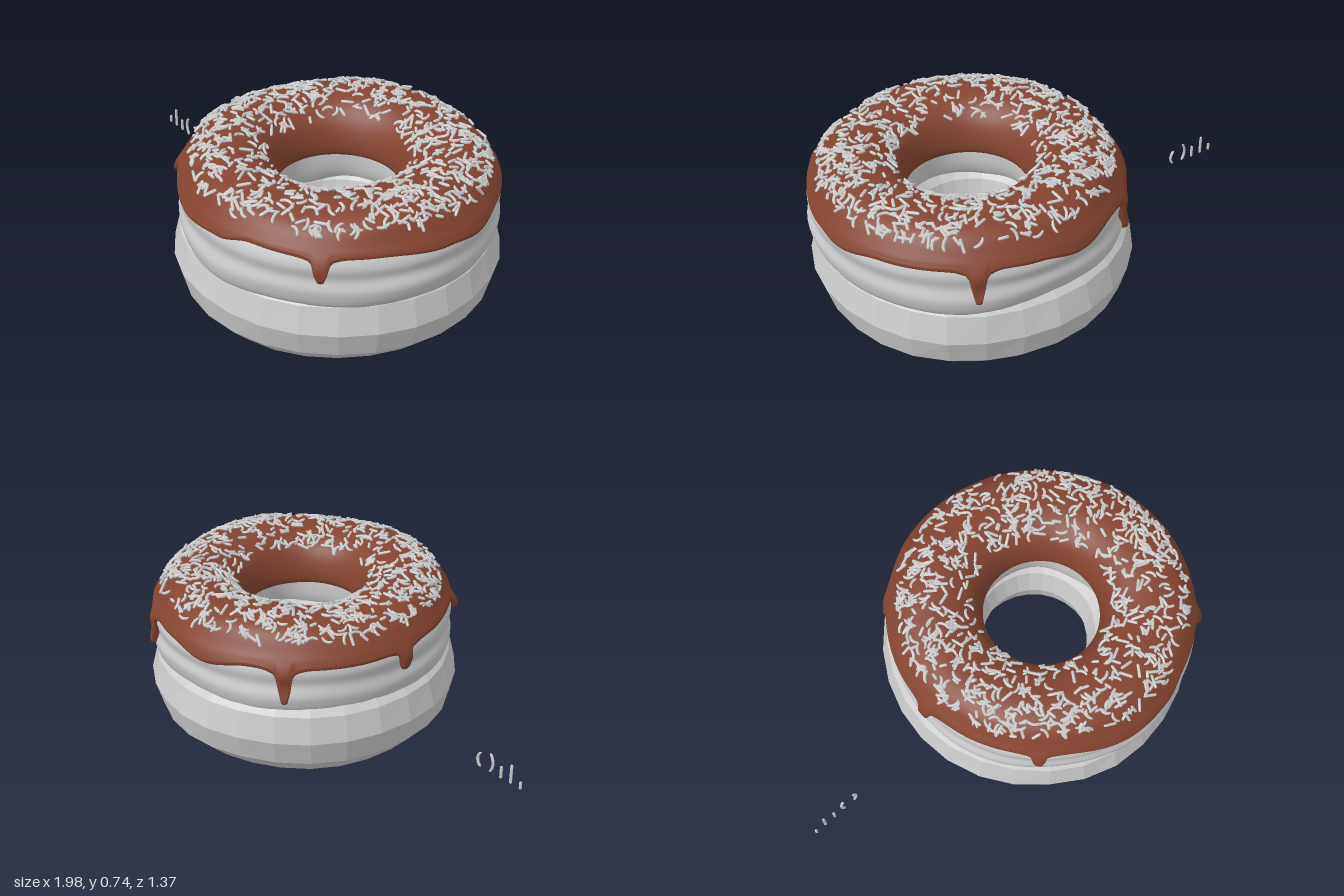
import * as THREE from 'three';
import { mergeGeometries } from 'three/addons/utils/BufferGeometryUtils.js';

const TAU = Math.PI * 2;
const CX = 0.315, CZ = 0.01; // axis of the upper donut

const curve = (pts, closed = false) =>
  new THREE.CatmullRomCurve3(pts.map(([r, y]) => new THREE.Vector3(r, y, 0)), closed);

let seed = 7;
const rand = () => {
  seed = (seed * 16807) % 2147483647;
  return seed / 2147483647;
};

// Sweeps a section (array of r, y points, outward side on its right) round the axis
function sweep(steps, sectionAt, closed) {
  const pos = [], index = [];
  let n = 0;
  for (let i = 0; i < steps; i++) {
    const a = (i / steps) * TAU;
    const section = sectionAt(a);
    n = section.length;
    for (const p of section) pos.push(CX + p.x * Math.cos(a), p.y, CZ + p.x * Math.sin(a));
  }
  for (let i = 0; i < steps; i++) {
    for (let j = 0; j < (closed ? n : n - 1); j++) {
      const i2 = ((i + 1) % steps) * n, j2 = (j + 1) % n;
      const a = i * n + j, b = i * n + j2, c = i2 + j, d = i2 + j2;
      index.push(a, b, c, b, d, c);
    }
  }
  const g = new THREE.BufferGeometry();
  g.setAttribute('position', new THREE.Float32BufferAttribute(pos, 3));
  g.setIndex(index);
  g.computeVertexNormals();
  return g;
}

// Upper donut: soft ring with a pinched waist
const donutPoints = curve([
  [0.64, 0.36], [0.658, 0.41], [0.66, 0.44], [0.648, 0.485], [0.657, 0.54], [0.63, 0.6],
  [0.57, 0.66], [0.45, 0.695], [0.34, 0.66], [0.28, 0.58], [0.265, 0.48], [0.28, 0.38],
  [0.34, 0.31], [0.45, 0.28], [0.57, 0.3],
], true).getPoints(60).slice(0, 60);

// Outer radius of the upper donut at height y
function outerRadius(y) {
  for (let i = 0; i < 28; i++) {
    const p = donutPoints[i], q = donutPoints[i + 1];
    if (y >= p.y && y <= q.y) return p.x + ((q.x - p.x) * (y - p.y)) / (q.y - p.y);
  }
  return donutPoints[0].x;
}

function donutSection(a) {
  return donutPoints.map((p) => {
    const low = 1 - THREE.MathUtils.smoothstep(p.y, 0.4, 0.54);
    const wave = 0.008 * Math.sin(3 * a + 0.5) + 0.005 * Math.sin(7 * a);
    return { x: p.x + low * 0.006 * Math.sin(5 * a), y: p.y + low * wave };
  });
}

// Icing: [degrees, height] of the lower edge, and [degrees, tip height] of the drips
const EDGE = [
  [0, 0.56], [25, 0.582], [52, 0.582], [70, 0.588], [83, 0.56], [100, 0.545], [125, 0.577],
  [145, 0.58], [165, 0.575], [200, 0.56], [240, 0.565], [258, 0.535], [275, 0.565],
  [290, 0.572], [330, 0.57], [347, 0.545], [360, 0.56],
];
const DRIPS = [[45, 0.48], [135, 0.52], [181, 0.475], [227, 0.41], [296, 0.425]];

function icingEdge(a) {
  const deg = (a / TAU) * 360;
  const k = EDGE.findIndex((e, i) => i > 0 && deg <= e[0]);
  const [d0, y0] = EDGE[k - 1], [d1, y1] = EDGE[k];
  let y = THREE.MathUtils.lerp(y0, y1, THREE.MathUtils.smoothstep(deg, d0, d1));
  let drip = 0;
  for (const [d, tip] of DRIPS) {
    const off = Math.abs(deg - d);
    const core = Math.exp(-Math.pow(off / 2.4, 4));
    const w = 0.8 * core + 0.2 * Math.exp(-Math.pow(off / 5, 2));
    y += (tip - y) * w;
    drip = Math.max(drip, core);
  }
  return { y, drip };
}

const TOP = [
  [0.63, 0.625], [0.59, 0.675], [0.53, 0.705], [0.45, 0.716], [0.36, 0.698],
  [0.29, 0.645], [0.257, 0.57], [0.252, 0.51], [0.265, 0.487], [0.295, 0.487],
];
const topLift = (a, y) => THREE.MathUtils.smoothstep(y, 0.62, 0.7) *
  (0.007 * Math.sin(3 * a + 1) + 0.005 * Math.sin(5 * a));

function icingSection(a) {
  const { y: e, drip } = icingEdge(a);
  const thick = 0.018 + 0.01 * drip;
  const pts = [
    [outerRadius(e + 0.004) - 0.012, e + 0.004],
    [outerRadius(e) + thick * 0.5, e],
  ];
  for (let i = 0; i < 5; i++) {
    const y = THREE.MathUtils.lerp(e + 0.014, 0.61, i / 5);
    pts.push([outerRadius(y) + THREE.MathUtils.lerp(thick, 0.02, i / 5), y]);
  }
  return curve([...pts, ...TOP]).getPoints(48)
    .map((p) => ({ x: p.x, y: p.y + topLift(a, p.y) }));
}

// One sprinkle: a small capsule, optionally bowed sideways
function sprinkle(length, bow = 0) {
  const r = 0.0065;
  const g = new THREE.CapsuleGeometry(r, length - 2 * r, 2, 6, bow ? 5 : 1);
  const p = g.attributes.position;
  for (let i = 0; i < p.count; i++) {
    const t = p.getY(i) / (length / 2);
    p.setX(i, p.getX(i) + bow * (1 - t * t));
  }
  g.computeVertexNormals();
  return g;
}

export function createModel() {
  const model = new THREE.Group();
  const grey = new THREE.MeshStandardMaterial({ color: 0xcccccc });
  const add = (name, geometry, material = grey) => {
    const mesh = new THREE.Mesh(geometry, material);
    mesh.name = name;
    model.add(mesh);
    return mesh;
  };

  // Lower donut: faceted ring, slightly uneven
  const lower = new THREE.TorusGeometry(0.46, 0.225, 12, 28).rotateX(-Math.PI / 2);
  const p = lower.attributes.position;
  for (let i = 0; i < p.count; i++) {
    const x = p.getX(i), y = p.getY(i), z = p.getZ(i);
    const s = 1 + 0.006 * Math.sin(9 * x + 5 * z + 8 * y);
    p.setXYZ(i, 0.298 + x * s, 0.236 + y * 1.02 + 0.005 * Math.sin(5 * x - 4 * z), z * s);
  }
  const faceted = new THREE.MeshStandardMaterial({ color: 0xcccccc, flatShading: true });
  add('lowerDonut', lower, faceted);

  add('upperDonut', sweep(96, donutSection, true));
  add('icing', sweep(360, icingSection, false), new THREE.MeshStandardMaterial({ color: 0x84442f }));

  // Sprinkles scattered over the top of the icing
  const kinds = [sprinkle(0.034), sprinkle(0.06), sprinkle(0.045), sprinkle(0.055, -0.009), sprinkle(0.05, 0.011)];
  const top = curve(TOP);
  const scattered = [];
  while (scattered.length < 900) {
    const u = (0.6 + 4.3 * rand()) / (TOP.length - 1);
    const a = rand() * TAU;
    const q = top.getPoint(u), t = top.getTangent(u);
    if (rand() > q.x / 0.6) continue;
    const c = Math.cos(a), s = Math.sin(a);
    const normal = new THREE.Vector3(t.y * c, -t.x, t.y * s).normalize();
    const along = new THREE.Vector3(t.x * c, t.y, t.x * s);
    const dir = along.applyAxisAngle(normal, rand() * TAU).addScaledVector(normal, (rand() - 0.5) * 0.5).normalize();
    const side = new THREE.Vector3().crossVectors(dir, normal).normalize();
    const m = new THREE.Matrix4().makeBasis(side, dir, new THREE.Vector3().crossVectors(side, dir));
    m.setPosition(new THREE.Vector3(CX + q.x * c, q.y + topLift(a, q.y), CZ + q.x * s).addScaledVector(normal, 0.005));
    scattered.push(kinds[Math.floor(rand() * kinds.length)].clone().applyMatrix4(m));
  }
  add('sprinkles', mergeGeometries(scattered));

  // Loose sprinkles standing in a row beside the donuts
  const loose = [
    [-0.991, 0.233, 0.038, 0], [-0.941, 0.26, 0.09, 0], [-0.89, 0.242, 0.06, 0],
    [-0.832, 0.258, 0.088, -0.014], [-0.781, 0.247, 0.07, 0.016],
  ];
  loose.forEach(([x, y, length, bow], i) =>
    add(`looseSprinkle${i + 1}`, sprinkle(length, bow)).position.set(x, y, 0));

  return model;
}
